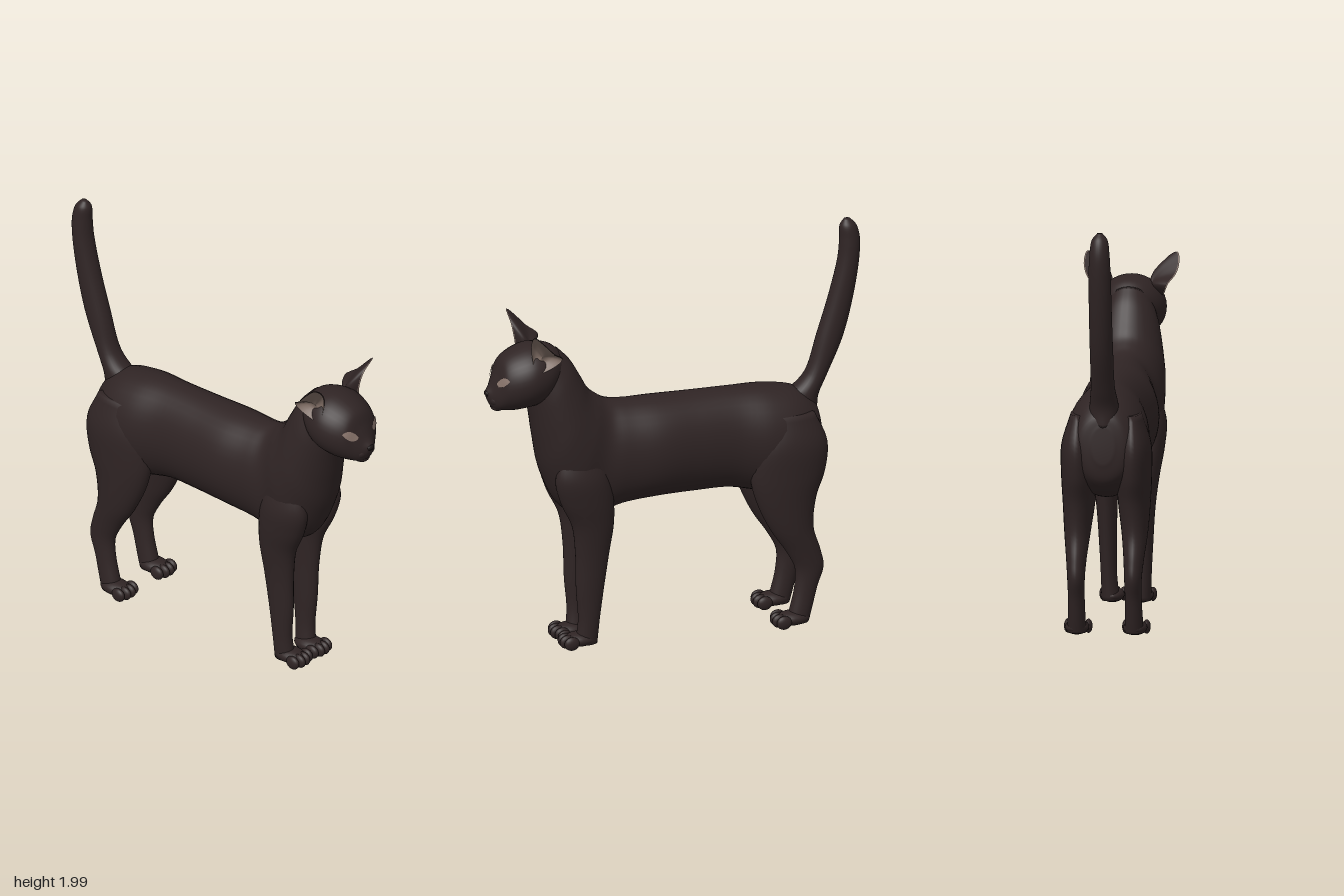
import * as THREE from 'three';

const mat = (name, color, side = THREE.FrontSide) => {
  const m = new THREE.MeshStandardMaterial({ color, side });
  m.name = name;
  return m;
};

// Smooth skin through oval sections [ax, ay, bx, by, halfWidth, zCentre];
// a and b are opposite points of the oval in the side plane.
function loft(sections, sub = 6, n = 28) {
  const A = new THREE.CatmullRomCurve3(sections.map(s => new THREE.Vector3(s[0], s[1], s[4])));
  const B = new THREE.CatmullRomCurve3(sections.map(s => new THREE.Vector3(s[2], s[3], s[5] || 0)));
  const rows = (sections.length - 1) * sub, pos = [], idx = [], mids = [];
  for (let i = 0; i <= rows; i++) {
    const a = A.getPoint(i / rows), b = B.getPoint(i / rows);
    const mx = (a.x + b.x) / 2, my = (a.y + b.y) / 2;
    mids.push([mx, my, b.z]);
    for (let j = 0; j < n; j++) {
      const t = j / n * Math.PI * 2, c = Math.cos(t);
      pos.push(mx + (a.x - mx) * c, my + (a.y - my) * c, b.z + a.z * Math.sin(t));
      if (i < rows) {
        const p = i * n + j, q = i * n + (j + 1) % n;
        idx.push(p, q, p + n, q, q + n, p + n);
      }
    }
  }
  // end caps
  const c0 = pos.length / 3;
  pos.push(...mids[0], ...mids[rows]);
  for (let j = 0; j < n; j++) {
    const k = (j + 1) % n;
    idx.push(c0, k, j, c0 + 1, rows * n + j, rows * n + k);
  }
  return surface(pos, idx);
}

function surface(pos, idx) {
  const g = new THREE.BufferGeometry();
  g.setAttribute('position', new THREE.Float32BufferAttribute(pos, 3));
  g.setIndex(idx);
  g.computeVertexNormals();
  return g;
}

// Cupped sheet between a closed rim and a sunken centre
function cup(rim, centre, side) {
  const curve = new THREE.CatmullRomCurve3(rim.map(p => new THREE.Vector3(...p)), true);
  const c = new THREE.Vector3(...centre), n = 32, rings = 5, pos = [], idx = [];
  for (let i = 0; i <= rings; i++) for (let j = 0; j < n; j++) {
    const f = i / rings;
    const p = curve.getPoint(j / n).lerp(c, f);
    pos.push(p.x, p.y, side * (p.z - 0.02 * Math.sin(f * Math.PI)));
    if (i < rings) {
      const a = i * n + j, b = i * n + (j + 1) % n;
      if (side > 0) idx.push(a, b, a + n, b, b + n, a + n);
      else idx.push(a, a + n, b, b, a + n, b + n);
    }
  }
  return surface(pos, idx);
}

export function createModel() {
  const model = new THREE.Group();
  model.name = 'cat';
  const fur = mat('dark brown fur', 0x2f2424);
  const earFur = mat('ear back fur', 0x2f2424, THREE.DoubleSide);
  const earSkin = mat('inner ear skin', 0x7d6b62, THREE.DoubleSide);
  const eyeMat = mat('pale eyes', 0x87736a, THREE.DoubleSide);
  const noseMat = mat('nose black', 0x1d1616);

  const add = (name, geo, material = fur, parent = model) => {
    const m = new THREE.Mesh(geo, material);
    m.name = name;
    parent.add(m);
    return m;
  };
  const blob = (name, x, y, z, rx, ry, rz, material = fur, parent = model) => {
    const m = add(name, new THREE.SphereGeometry(1, 20, 14), material, parent);
    m.position.set(x, y, z);
    m.scale.set(rx, ry, rz);
    return m;
  };

  // torso, chest and neck
  add('body', loft([
    [-0.735, 1.03, -0.745, 0.86, 0.05],
    [-0.715, 1.10, -0.72, 0.76, 0.13],
    [-0.63, 1.17, -0.60, 0.68, 0.185],
    [-0.48, 1.203, -0.45, 0.67, 0.20],
    [-0.30, 1.21, -0.28, 0.705, 0.175],
    [-0.10, 1.212, -0.10, 0.71, 0.18],
    [0.10, 1.215, 0.10, 0.708, 0.192],
    [0.26, 1.22, 0.27, 0.69, 0.17],
    [0.34, 1.235, 0.42, 0.65, 0.16],
    [0.39, 1.265, 0.57, 0.71, 0.18],
    [0.43, 1.30, 0.665, 0.89, 0.18],
    [0.47, 1.37, 0.70, 1.06, 0.165],
    [0.52, 1.455, 0.72, 1.19, 0.145],
    [0.58, 1.52, 0.735, 1.265, 0.12]
  ], 6, 36));

  // head with tapering face
  const head = add('head', loft([
    [0.54, 1.47, 0.64, 1.29, 0.09],
    [0.62, 1.545, 0.70, 1.255, 0.148],
    [0.72, 1.563, 0.76, 1.245, 0.167],
    [0.80, 1.542, 0.82, 1.24, 0.152],
    [0.865, 1.50, 0.872, 1.243, 0.118],
    [0.897, 1.43, 0.902, 1.247, 0.078],
    [0.922, 1.375, 0.922, 1.268, 0.046],
    [0.943, 1.348, 0.938, 1.30, 0.02]
  ], 8, 36));
  blob('chin', 0.885, 1.262, 0, 0.035, 0.025, 0.04);
  blob('nose', 0.938, 1.332, 0, 0.013, 0.015, 0.022, noseMat);

  add('tail', loft([
    [-0.735, 1.03, -0.58, 1.16, 0.07],
    [-0.74, 1.12, -0.62, 1.175, 0.068],
    [-0.78, 1.21, -0.68, 1.24, 0.058],
    [-0.865, 1.40, -0.737, 1.42, 0.056],
    [-0.918, 1.60, -0.80, 1.62, 0.055],
    [-0.95, 1.80, -0.845, 1.80, 0.053],
    [-0.953, 1.90, -0.853, 1.90, 0.048],
    [-0.935, 1.965, -0.855, 1.965, 0.038],
    [-0.905, 1.998, -0.875, 1.998, 0.012]
  ]));

  const frontLeg = [
    [0.60, 1.00, 0.40, 1.00, 0.035, 0.125],
    [0.63, 0.88, 0.36, 0.88, 0.07, 0.12],
    [0.60, 0.76, 0.335, 0.76, 0.073, 0.11],
    [0.54, 0.63, 0.33, 0.63, 0.062, 0.10],
    [0.52, 0.48, 0.35, 0.48, 0.05, 0.092],
    [0.515, 0.30, 0.375, 0.30, 0.043, 0.087],
    [0.503, 0.14, 0.395, 0.14, 0.039, 0.083],
    [0.515, 0.02, 0.405, 0.02, 0.044, 0.075]
  ];
  const hindLeg = [
    [-0.44, 1.08, -0.68, 1.08, 0.04, 0.13],
    [-0.37, 0.93, -0.742, 0.93, 0.08, 0.135],
    [-0.355, 0.78, -0.73, 0.78, 0.085, 0.132],
    [-0.385, 0.65, -0.685, 0.65, 0.078, 0.133],
    [-0.455, 0.50, -0.67, 0.50, 0.063, 0.138],
    [-0.535, 0.38, -0.705, 0.38, 0.049, 0.138],
    [-0.578, 0.29, -0.722, 0.29, 0.042, 0.137],
    [-0.575, 0.19, -0.69, 0.19, 0.04, 0.137],
    [-0.55, 0.08, -0.662, 0.08, 0.043, 0.138],
    [-0.535, 0.02, -0.645, 0.02, 0.045, 0.138]
  ];
  // ear rim: tip, rear edge, base, front edge
  const rim = [
    [0.765, 1.665, 0.215], [0.72, 1.625, 0.23], [0.67, 1.572, 0.218], [0.618, 1.53, 0.185],
    [0.655, 1.485, 0.165], [0.735, 1.46, 0.148], [0.752, 1.53, 0.128], [0.763, 1.61, 0.148]
  ];
  const ray = new THREE.Raycaster();

  for (const s of [1, -1]) {
    const end = s > 0 ? 'Near' : 'Far';
    const mirror = rows => rows.map(r => [...r.slice(0, 5), r[5] * s]);
    add('frontLeg' + end, loft(mirror(frontLeg)));
    add('hindLeg' + end, loft(mirror(hindLeg)));

    // paws with four toes each
    for (const [name, x, z] of [['frontPaw', 0.405, 0.07], ['hindPaw', -0.648, 0.14]]) {
      const paw = new THREE.Group();
      paw.name = name + end;
      model.add(paw);
      blob('pad', x + 0.085, 0.042, z * s, 0.088, 0.036, 0.058, fur, paw);
      for (let i = 0; i < 4; i++) {
        const k = i - 1.5;
        blob('toe', x + 0.16 - Math.abs(k) * 0.012, 0.038, z * s + k * 0.033,
          0.038, 0.034, 0.019, fur, paw);
      }
    }

    // ears: pale cup inside, dark shell behind
    add('innerEar' + end, cup(rim, [0.70, 1.53, 0.13], s), earSkin);
    add('earShell' + end, cup(rim.map(p => [p[0] - 0.003, p[1], p[2] - 0.006]),
      [0.685, 1.525, 0.10], s), earFur);

    // muzzle cheeks
    blob('muzzle' + end, 0.896, 1.302, 0.028 * s, 0.034, 0.03, 0.032);

    // almond eyes laid on the face
    const pos = [], idx = [], n = 20, rings = 4;
    for (let i = 0; i <= rings; i++) for (let j = 0; j < n; j++) {
      const t = j / n * Math.PI * 2, r = i / rings, u = Math.cos(t) * r;
      const z = (0.084 + 0.034 * u) * s;
      const y = 1.408 + 0.012 * u + 0.024 * r * Math.sin(t) * Math.sqrt(Math.abs(Math.sin(t)));
      ray.set(new THREE.Vector3(2, y, z), new THREE.Vector3(-1, 0, 0));
      const hit = ray.intersectObject(head)[0];
      pos.push((hit ? hit.point.x : 0.84) + 0.005, y, z + 0.002 * s);
      if (i < rings) {
        const a = i * n + j, b = i * n + (j + 1) % n;
        if (s > 0) idx.push(a, b, a + n, b, b + n, a + n);
        else idx.push(a, a + n, b, b, a + n, b + n);
      }
    }
    add('eye' + end, surface(pos, idx), eyeMat);
  }
  return model;
}
